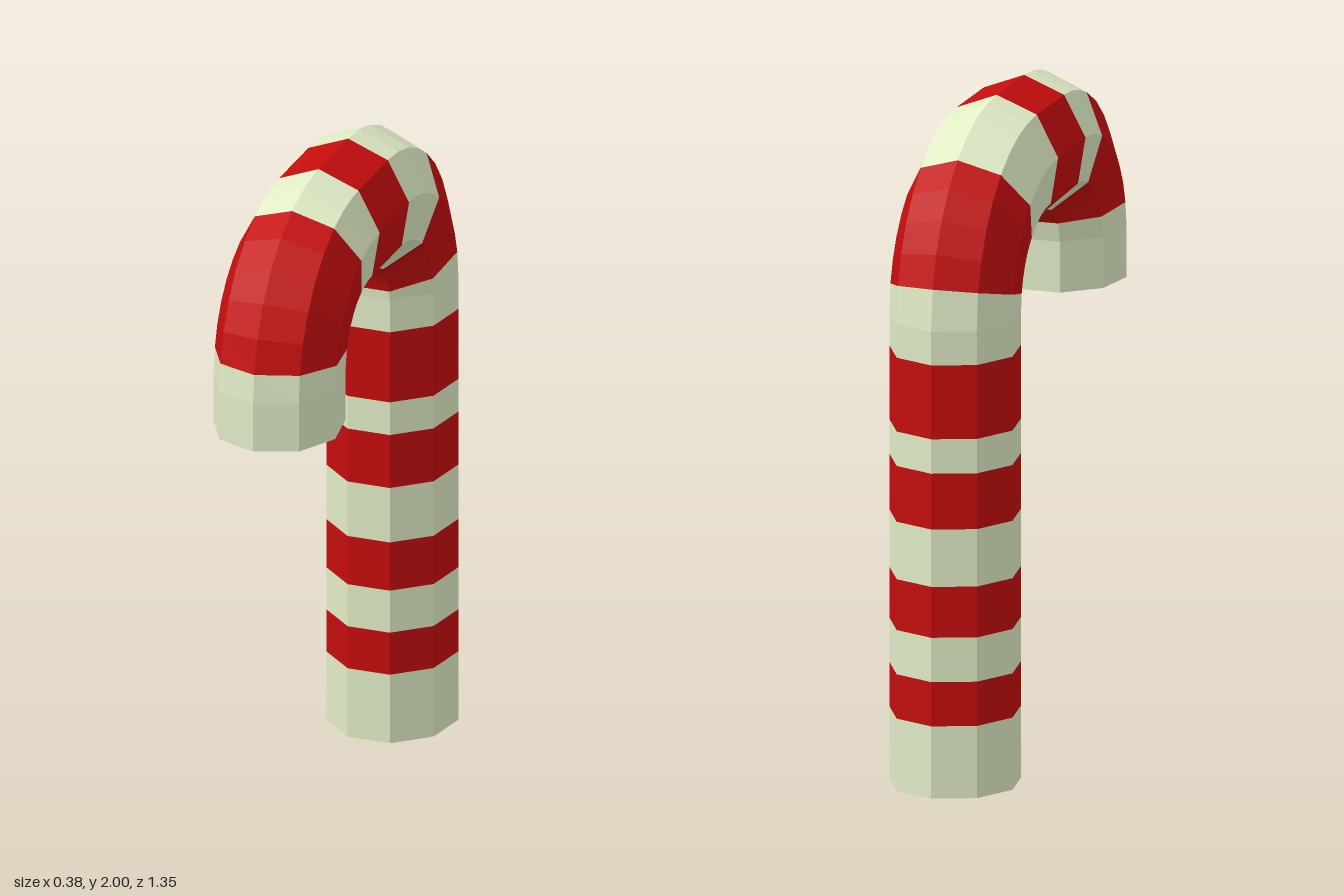
import * as THREE from 'three';

const SIDES = 9;
const HALF_WIDTH = 0.195;
const RAD = Math.PI / 180;

// A ring is given by its outermost and innermost points [z, y] in the plane of the hook.
const legRing = (y) => ({ o: [-0.675, y], i: [-0.267, y] });
const tipRing = (y) => ({ o: [0.675, y], i: [0.267, y] });

// Ring on a bend; the outer and inner angles differ slightly where stripes slant.
function bendRing(side, cz, cy, rOut, rIn, aOut, aIn) {
  const at = (r, a) => [cz + side * r * Math.cos(a * RAD), cy + r * Math.sin(a * RAD)];
  return { o: at(rOut, aOut), i: at(rIn, aIn) };
}
const backRing = (a, b) => bendRing(-1, -0.1, 1.423, 0.577, 0.167, a, b);
const frontRing = (a, b) => bendRing(1, 0.14, 1.465, 0.535, 0.127, a, b);

// Evenly stepped bend rings between two slanted stripe edges
function sweep(make, [a0, b0], [a1, b1], steps) {
  return Array.from({ length: steps + 1 }, (_, n) => {
    const t = n / steps;
    return make(a0 + (a1 - a0) * t, b0 + (b1 - b0) * t);
  });
}

// Nine corners of a ring, with one corner on the outer edge and a flat on the inner edge
function corners({ o, i }) {
  const dz = o[0] - i[0], dy = o[1] - i[1];
  const k = 1 / (1 + Math.cos(Math.PI / SIDES));
  return Array.from({ length: SIDES }, (_, n) => {
    const a = (n / SIDES) * Math.PI * 2;
    const s = k * (1 - Math.cos(a));
    return [HALF_WIDTH * Math.sin(a) , o[1] - dy * s, o[0] - dz * s];
  });
}

function bandGeometry(rings, capStart, capEnd) {
  const loops = rings.map(corners);
  const pos = [];
  const tri = (...pts) => pts.forEach((p) => pos.push(...p));
  for (let j = 0; j < loops.length - 1; j++) {
    for (let n = 0; n < SIDES; n++) {
      const m = (n + 1) % SIDES;
      const a = loops[j][n], b = loops[j][m], c = loops[j + 1][m], d = loops[j + 1][n];
      tri(a, d, c);
      tri(a, c, b);
    }
  }
  const first = loops[0], last = loops[loops.length - 1];
  for (let n = 1; n < SIDES - 1; n++) {
    if (capStart) tri(first[0], first[n], first[n + 1]);
    if (capEnd) tri(last[0], last[n + 1], last[n]);
  }
  const g = new THREE.BufferGeometry();
  g.setAttribute('position', new THREE.Float32BufferAttribute(pos, 3));
  g.computeVertexNormals();
  return g;
}

export function createModel() {
  const group = new THREE.Group();
  group.name = 'candyCane';
  const cream = new THREE.MeshStandardMaterial({ color: 0xe0ecc6, flatShading: true });
  const red = new THREE.MeshStandardMaterial({ color: 0xc40d0d, flatShading: true });

  // Straight leg stripes
  const bands = [];
  const levels = [0, 0.22, 0.355, 0.49, 0.645, 0.82, 0.99, 1.095, 1.32];
  for (let n = 0; n < levels.length - 1; n++) {
    bands.push(['leg', [legRing(levels[n]), legRing(levels[n + 1])]]);
  }

  // Back bend, top bar, front bend and tip
  bands.push(['backBend', [legRing(1.32), ...sweep(backRing, [0, 0], [12.5, 10], 1)]]);
  bands.push(['backBend', sweep(backRing, [12.5, 10], [53.5, 47], 4)]);
  bands.push(['backBend', sweep(backRing, [53.5, 47], [90, 90], 4)]);
  bands.push(['topBar', [backRing(90, 90), frontRing(90, 90)]]);
  bands.push(['frontBend', sweep(frontRing, [90, 90], [66, 66], 3)]);
  bands.push(['frontBend', sweep(frontRing, [66, 66], [9.5, 28], 5)]);
  bands.push(['tip', [...sweep(frontRing, [9.5, 28], [0, 0], 1), tipRing(1.31)]]);

  // Stripes alternate along the whole cane, starting and ending with cream
  bands.forEach(([part, rings], n) => {
    const geometry = bandGeometry(rings, n === 0, n === bands.length - 1);
    const mesh = new THREE.Mesh(geometry, n % 2 ? red : cream);
    mesh.name = `${part}${n % 2 ? 'Red' : 'Cream'}Stripe${n + 1}`;
    group.add(mesh);
  });
  return group;
}
